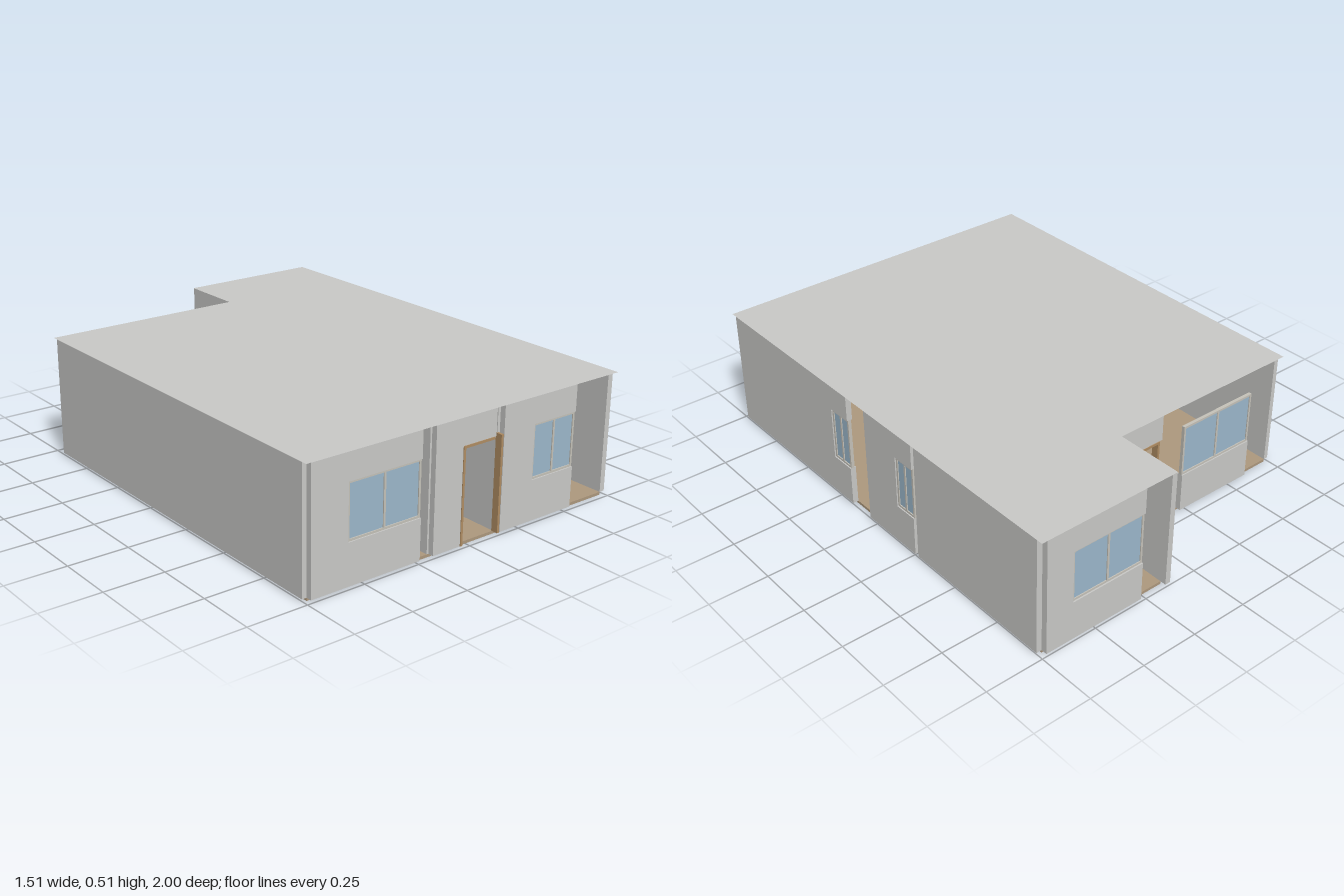
import * as THREE from 'three';

const material = (name, color, side = THREE.FrontSide) => {
  const m = new THREE.MeshStandardMaterial({ color, side });
  m.name = name;
  return m;
};

export function createModel() {
  const house = new THREE.Group();
  house.name = 'house';
  const wallGrey = material('wall grey', 0xcacac8);
  const roofGrey = material('roof grey', 0xcacac8, THREE.DoubleSide);
  const floorBrown = material('floor brown', 0xae997e);
  const doorWood = material('door wood', 0xb08d63);
  const frameGrey = material('window frame', 0xc6c3ba);
  const glassBlue = material('glass blue', 0x9db8cc);

  const BASE = 0.012, TOP = 0.514, SILL = 0.18, HEAD = 0.405;

  // Block running along 'x' or 'z' from a0 to a1; c0..c1 is its extent across
  function block(name, mat, axis, [a0, a1], [y0, y1], [c0, c1], parent = house) {
    const along = Math.abs(a1 - a0), across = Math.abs(c1 - c0);
    const isX = axis === 'x';
    const mesh = new THREE.Mesh(
      new THREE.BoxGeometry(isX ? along : across, y1 - y0, isX ? across : along), mat);
    const a = (a0 + a1) / 2, c = (c0 + c1) / 2;
    mesh.position.set(isX ? a : c, (y0 + y1) / 2, isX ? c : a);
    mesh.name = name;
    parent.add(mesh);
  }
  const wall = (name, axis, span, across, y = [BASE, TOP]) =>
    block(name, wallGrey, axis, span, y, across);

  // Two-pane window with sill wall and optional wall above
  function windowBay(name, axis, [a0, a1], across, lintel = true) {
    wall(name + 'SillWall', axis, [a0, a1], across, [BASE, SILL]);
    if (lintel) wall(name + 'HeadWall', axis, [a0, a1], across, [HEAD, TOP]);
    const g = new THREE.Group();
    g.name = name;
    house.add(g);
    const c = (across[0] + across[1]) / 2, mid = (a0 + a1) / 2, t = 0.009;
    const frame = [c - 0.007, c + 0.007];
    block('glass', glassBlue, axis, [a0 + t, a1 - t], [SILL + t, HEAD - t], [c - 0.003, c + 0.003], g);
    for (const [s, e] of [[a0, a0 + t], [mid - t / 2, mid + t / 2], [a1 - t, a1]])
      block('upright', frameGrey, axis, [s, e], [SILL, HEAD], frame, g);
    for (const y of [SILL, HEAD - t])
      block('rail', frameGrey, axis, [a0, a1], [y, y + t], frame, g);
  }

  // Wooden door frame with jambs at both ends
  function doorFrame(name, axis, [a0, a1], [c0, c1], headEnd = a1) {
    const g = new THREE.Group();
    g.name = name;
    house.add(g);
    const across = [c0 - 0.003, c1 + 0.003], t = 0.01;
    block('jamb', doorWood, axis, [a0, a0 + t], [BASE, HEAD], across, g);
    block('jamb', doorWood, axis, [a1 - t, a1], [BASE, HEAD], across, g);
    block('head', doorWood, axis, [a0, headEnd], [HEAD - t, HEAD], across, g);
  }

  // Interior wall with one framed doorway from d0 to d1
  function partition(name, axis, [a0, a1], across, [d0, d1]) {
    wall(name, axis, [a0, d0], across);
    wall(name, axis, [d1, a1], across);
    wall(name + 'Head', axis, [d0, d1], across, [HEAD, TOP]);
    doorFrame(name + 'DoorFrame', axis, [d0, d1], across);
  }

  // L-shaped plan; the shape's y becomes -z once laid flat
  const plan = (l, r, front, back, step, stepX) => new THREE.Shape(
    [[l, -front], [r, -front], [r, -back], [stepX, -back], [stepX, -step], [l, -step]]
      .map(([x, y]) => new THREE.Vector2(x, y)));

  const floor = new THREE.Mesh(
    new THREE.ExtrudeGeometry(plan(-0.735, 0.731, 0.975, -0.973, -0.685, 0.15),
      { depth: BASE, bevelEnabled: false }), floorBrown);
  floor.rotation.x = -Math.PI / 2;
  floor.name = 'floor';
  const roof = new THREE.Mesh(
    new THREE.ShapeGeometry(plan(-0.756, 0.756, 1, -1, -0.71, 0.125)), roofGrey);
  roof.rotation.x = -Math.PI / 2;
  roof.position.y = 0.515;
  roof.name = 'roof';
  house.add(floor, roof);

  // Front wall
  const F = [0.975, 0.999];
  wall('frontWallRight', 'x', [-0.735, -0.575], F);
  windowBay('frontWindowRight', 'x', [-0.575, -0.245], F);
  wall('frontWallMiddle', 'x', [-0.182, -0.05], F);
  wall('frontDoorHeadWall', 'x', [-0.05, 0.112], F, [HEAD, TOP]);
  doorFrame('frontDoorFrame', 'x', [-0.05, 0.146], F, 0.105);
  wall('frontWallLeft', 'x', [0.152, 0.31], F);
  windowBay('frontWindowLeft', 'x', [0.31, 0.53], F);

  // Side wall on +x
  const L = [0.731, 0.755];
  wall('leftWallFront', 'z', [0.27, 0.975], L);
  windowBay('leftWindowFront', 'z', [0.16, 0.27], L);
  wall('leftWallMiddle', 'z', [-0.155, 0.04], L);
  windowBay('leftWindowBack', 'z', [-0.26, -0.155], L);
  wall('leftWallBack', 'z', [-0.973, -0.278], L);

  // Plain side wall on -x
  wall('rightWall', 'z', [-0.685, 0.975], [-0.755, -0.735]);

  // Back wing
  const W = [-0.999, -0.973];
  wall('wingBackWall', 'x', [0.61, 0.731], W);
  windowBay('wingBackWindow', 'x', [0.275, 0.61], W);
  wall('wingSideWall', 'z', [-0.999, -0.685], [0.126, 0.15]);

  // Main back wall
  const B = [-0.709, -0.685];
  wall('backWallLeft', 'x', [0.06, 0.126], B);
  wall('backDoorHeadWall', 'x', [-0.09, 0.06], B, [HEAD, TOP]);
  doorFrame('backDoorFrame', 'x', [-0.075, 0.06], B);
  windowBay('backWindow', 'x', [-0.59, -0.215], B, false);

  // Interior walls
  partition('hallWallRight', 'z', [0.05, 0.975], [-0.19, -0.176], [0.2, 0.38]);
  partition('hallWallLeft', 'z', [0.05, 0.975], [0.14, 0.154], [0.2, 0.38]);
  partition('crossWall', 'x', [-0.735, 0.731], [0.038, 0.05], [0.2, 0.36]);
  partition('wingWall', 'z', [-0.685, 0.038], [0.136, 0.15], [-0.15, 0]);
  wall('wingCrossWall', 'x', [0.15, 0.731], [-0.277, -0.263]);

  return house;
}
